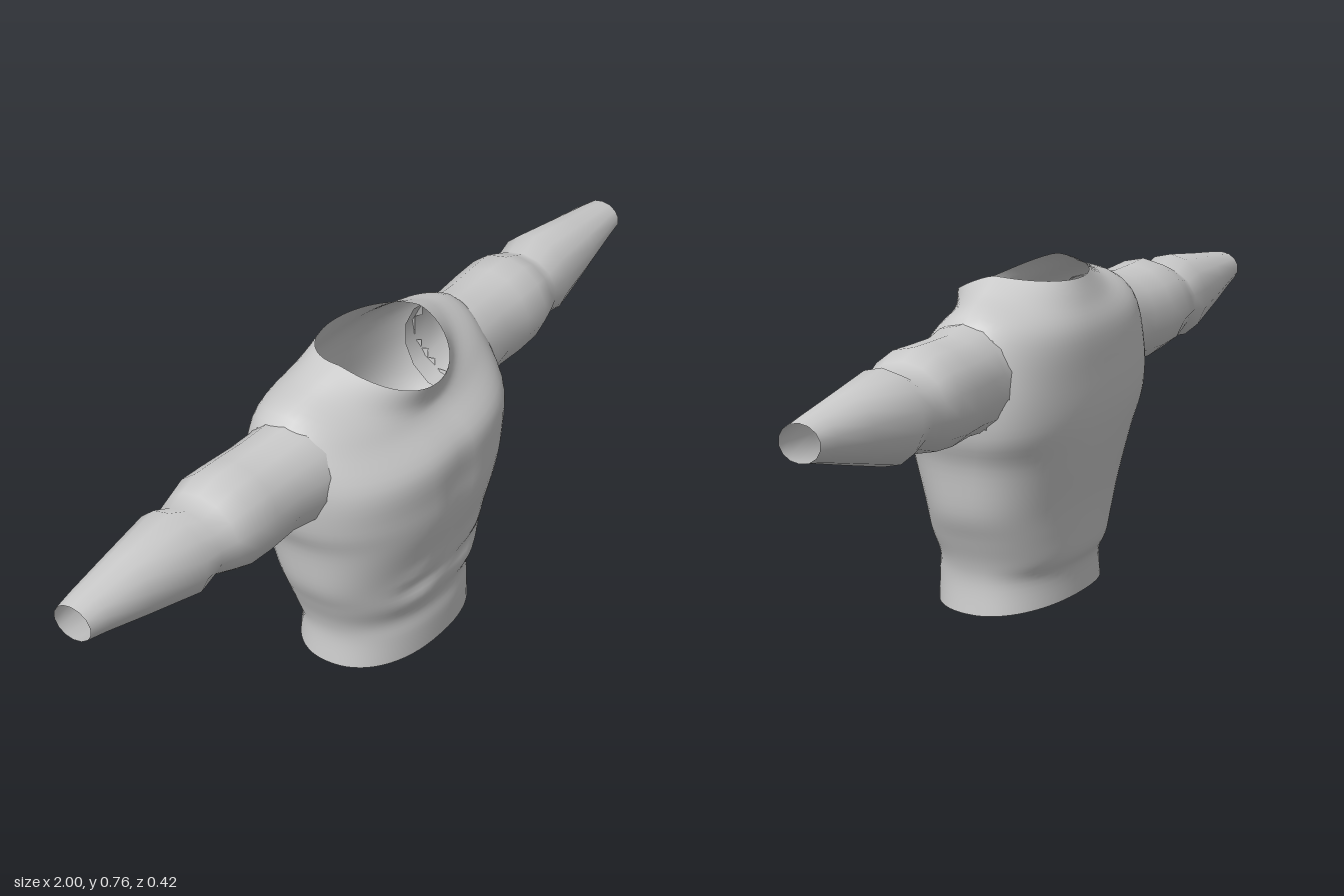
import * as THREE from 'three';

const material = new THREE.MeshStandardMaterial({ color: 0xcccccc, side: THREE.DoubleSide });

// Skin a list of closed rings (arrays of Vector3); cells where skip(centre) is true stay open
function loft(name, rings, skip = () => false) {
  const n = rings[0].length, index = [];
  for (let i = 0; i < rings.length - 1; i++) {
    for (let j = 0; j < n; j++) {
      const k = (j + 1) % n;
      const centre = new THREE.Vector3().add(rings[i][j]).add(rings[i][k])
        .add(rings[i + 1][j]).add(rings[i + 1][k]).multiplyScalar(0.25);
      if (skip(centre)) continue;
      const a = i * n + j, b = i * n + k, c = a + n, d = b + n;
      index.push(a, c, b, b, c, d);
    }
  }
  const geometry = new THREE.BufferGeometry().setFromPoints(rings.flat());
  geometry.setIndex(index);
  geometry.computeVertexNormals();
  const mesh = new THREE.Mesh(geometry, material);
  mesh.name = name;
  return mesh;
}

// Insert smooth in-between rows
function refine(rows, steps) {
  const out = [], at = (i) => rows[Math.min(Math.max(i, 0), rows.length - 1)];
  for (let i = 0; i < rows.length - 1; i++) {
    for (let s = 0; s < steps; s++) {
      const t = s / steps;
      out.push(rows[i].map((p1, c) => {
        const p0 = at(i - 1)[c], p2 = at(i + 1)[c], p3 = at(i + 2)[c];
        return p1 + 0.5 * t * (p2 - p0 + t * (2 * p0 - 5 * p1 + 4 * p2 - p3 + t * (3 * (p1 - p2) + p3 - p0)));
      }));
    }
  }
  out.push(rows[rows.length - 1]);
  return out;
}

const bell = (v, mid, width) => Math.exp(-(((v - mid) / width) ** 2));

// Torso rows: half width, side y, side z, front y, front z, back y, back z, front and back squareness
const torsoRows = [
  [0.232, 0.0, 0.0, 0.005, 0.165, 0.015, -0.152, 2.3, 2.3],
  [0.226, 0.07, 0.0, 0.07, 0.165, 0.08, -0.15, 2.3, 2.3],
  [0.235, 0.12, 0.0, 0.12, 0.16, 0.12, -0.166, 2.3, 2.4],
  [0.26, 0.18, 0.0, 0.18, 0.176, 0.18, -0.171, 2.3, 2.5],
  [0.29, 0.25, 0.0, 0.25, 0.179, 0.25, -0.179, 2.3, 2.5],
  [0.31, 0.36, -0.01, 0.37, 0.207, 0.36, -0.2, 2.4, 2.7],
  [0.34, 0.44, -0.03, 0.45, 0.21, 0.45, -0.21, 2.5, 3],
  [0.35, 0.56, -0.035, 0.54, 0.203, 0.54, -0.205, 2.5, 3],
  [0.325, 0.685, -0.035, 0.61, 0.145, 0.63, -0.195, 2.2, 2.6],
  [0.22, 0.73, -0.02, 0.645, 0.133, 0.69, -0.168, 2, 2.2],
  [0.152, 0.757, -0.01, 0.69, 0.145, 0.74, -0.145, 2, 2],
];

function torsoRing([w, sy, sz, fy, fz, by, bz, nf, nb]) {
  return Array.from({ length: 64 }, (_, j) => {
    const a = (j / 64) * Math.PI * 2, c = Math.cos(a), s = Math.sin(a);
    const front = s >= 0, p = 2 / (front ? nf : nb);
    const x = w * Math.sign(c) * Math.abs(c) ** p;
    const depth = Math.abs(s) ** p;
    const y = sy + ((front ? fy : by) - sy) * Math.abs(s) ** 1.3;
    let z = sz + ((front ? fz : bz) - sz) * depth;
    // Stomach muscles and the groove down the chest
    if (front) {
      const row = bell(y, 0.25, 0.022) + 0.6 * bell(y, 0.165, 0.025) - 0.7 * bell(y, 0.21, 0.018);
      z += 0.008 * row * bell(Math.abs(x), 0.09, 0.06);
      z -= 0.008 * bell(x, 0, 0.03) * bell(y, 0.42, 0.14);
    }
    return new THREE.Vector3(x, y, z);
  });
}

// Sleeve rows: x, top y, bottom y, front z, back z
const sleeveRows = [
  [0.29, 0.685, 0.44, 0.09, -0.145],
  [0.34, 0.684, 0.442, 0.085, -0.14],
  [0.4, 0.676, 0.45, 0.075, -0.145],
  [0.48, 0.678, 0.447, 0.077, -0.152],
  [0.55, 0.68, 0.453, 0.078, -0.153],
  [0.6, 0.66, 0.47, 0.064, -0.144],
  [0.64, 0.643, 0.485, 0.05, -0.137],
  [0.69, 0.667, 0.46, 0.052, -0.142],
  [0.84, 0.645, 0.5, 0.03, -0.12],
  [0.95, 0.63, 0.53, 0.012, -0.102],
  [1.0, 0.622, 0.541, 0.004, -0.093],
];

function sleeveRing([x, top, bottom, front, back], side) {
  return Array.from({ length: 14 }, (_, j) => {
    const a = (j / 14) * Math.PI * 2;
    return new THREE.Vector3(
      side * x,
      (top + bottom) / 2 + ((top - bottom) / 2) * Math.cos(a),
      (front + back) / 2 - side * ((front - back) / 2) * Math.sin(a));
  });
}

export function createModel() {
  const model = new THREE.Group();
  model.name = 'muscleTop';

  // Hollow torso, open at waist, neck and arms
  const armhole = (c) => Math.abs(c.x) > 0.22
    && ((c.y - 0.563) / 0.108) ** 2 + ((c.z + 0.03) / 0.105) ** 2 < 1;
  model.add(loft('torso', refine(torsoRows, 5).map(torsoRing), armhole));

  // Hollow sleeves, open at the wrists
  for (const [name, side] of [['leftSleeve', 1], ['rightSleeve', -1]]) {
    model.add(loft(name, sleeveRows.map((row) => sleeveRing(row, side))));
  }
  return model;
}
